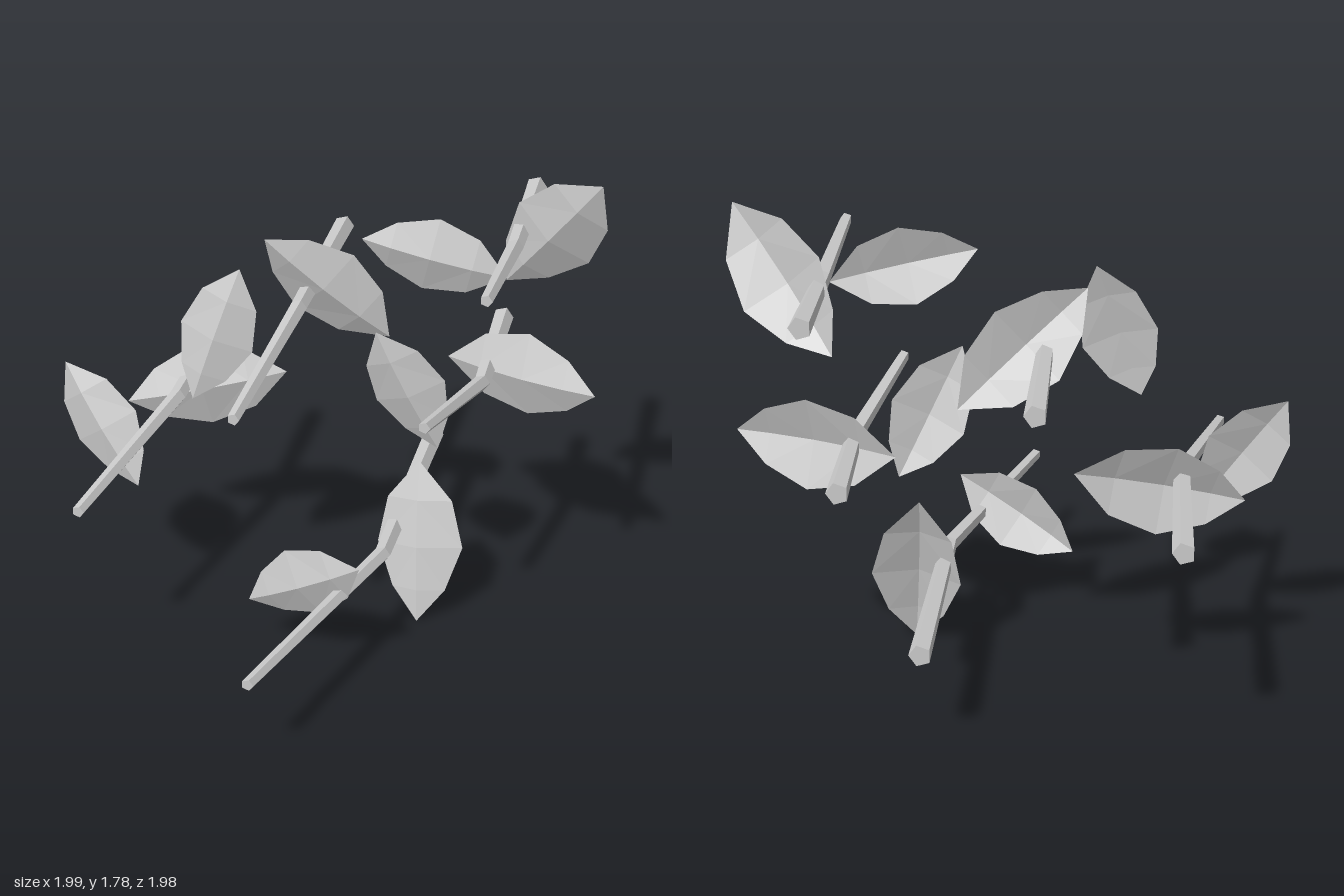
import * as THREE from 'three';

const material = new THREE.MeshStandardMaterial({ color: 0xcccccc, flatShading: true, side: THREE.DoubleSide });

// Five-sided tapering stem, bent at its middle: points are back, bend, front
function makeStem(points) {
  const geo = new THREE.CylinderGeometry(0.023, 0.041, 1, 5, 2, false, Math.PI / 2);
  geo.rotateX(Math.PI / 2);
  const p = geo.attributes.position;
  for (let i = 0; i < p.count; i++) {
    const [x, y, z] = points[Math.round((p.getZ(i) + 0.5) * 2)];
    p.setXYZ(i, p.getX(i) + x, p.getY(i) + y, z);
  }
  geo.computeVertexNormals();
  const mesh = new THREE.Mesh(geo, material);
  mesh.name = 'stem';
  return mesh;
}

// Leaf stations: [fraction of length, half width, midrib rise, edge drop], relative to length
const STATIONS = [
  [0, 0, 0, 0],
  [0.24, 0.2, 0.03, -0.03],
  [0.53, 0.265, 0.04, -0.05],
  [0.8, 0.165, 0.025, -0.035],
  [1, 0, 0, 0],
];

// Leaf folded along its midrib, running from base to tip
function makeLeaf(base, tip) {
  const a = new THREE.Vector3(...base);
  const axis = new THREE.Vector3(...tip).sub(a);
  const length = axis.length();
  const side = axis.clone().cross(new THREE.Vector3(0, 0, 1)).setLength(length);
  const normal = side.clone().cross(axis).setLength(length);
  const at = (t, w, h) => a.clone().addScaledVector(axis, t).addScaledVector(side, w).addScaledVector(normal, h);

  const verts = [];
  const index = [];
  for (const [t, w, rise, drop] of STATIONS) {
    verts.push(at(t, -w, drop), at(t, 0, rise), at(t, w, drop));
  }
  for (let i = 0; i < STATIONS.length - 1; i++) {
    const k = i * 3;
    if (i > 0) index.push(k, k + 1, k + 3, k + 1, k + 2, k + 5);
    index.push(k + 1, k + 4, k + 3, k + 1, k + 5, k + 4);
  }
  const geo = new THREE.BufferGeometry().setFromPoints(verts);
  geo.setIndex(index);
  geo.computeVertexNormals();
  const mesh = new THREE.Mesh(geo, material);
  mesh.name = 'leaf';
  return mesh;
}

// Each twig: three stem points and two leaves given as base and tip
const TWIGS = [
  {
    stem: [[0.605, 1.52, -0.99], [0.66, 1.52, -0.4], [0.7, 1.575, 0.2]],
    leaves: [[[0.97, 1.79, -0.42], [0.59, 1.29, -0.59]], [[0.67, 1.46, -0.25], [0.14, 1.58, -0.165]]],
  },
  {
    stem: [[-0.18, 1.25, -0.99], [-0.115, 1.25, -0.2], [-0.095, 1.18, 0.595]],
    leaves: [[[0.175, 1.06, -0.435], [-0.27, 1.48, -0.26]], [[-0.27, 1.48, 0.02], [-0.435, 0.96, 0.1]]],
  },
  {
    stem: [[0.495, 0.94, -0.99], [0.555, 0.94, -0.4], [0.49, 1.04, 0.2]],
    leaves: [[[0.37, 0.93, -0.595], [0.99, 0.94, -0.415]], [[0.2, 1.21, -0.16], [0.43, 0.715, -0.24]]],
  },
  {
    stem: [[-0.68, 0.79, -0.99], [-0.615, 0.79, -0.2], [-0.705, 0.695, 0.595]],
    leaves: [[[-0.245, 0.84, -0.44], [-0.85, 0.7, -0.26]], [[-0.985, 0.99, 0.02], [-0.67, 0.54, 0.1]]],
  },
  {
    stem: [[0.22, 0.355, -0.99], [0.285, 0.355, 0], [0.085, 0.36, 0.99]],
    leaves: [[[0.35, 0.63, -0.27], [0.4, 0.01, -0.1]], [[0.3, 0.5, 0.36], [-0.16, 0.23, 0.275]]],
  },
];

export function createModel() {
  const model = new THREE.Group();
  model.name = 'leafyTwigs';
  for (const { stem, leaves } of TWIGS) {
    const twig = new THREE.Group();
    twig.name = 'twig';
    twig.add(makeStem(stem), ...leaves.map(([base, tip]) => makeLeaf(base, tip)));
    model.add(twig);
  }
  return model;
}
